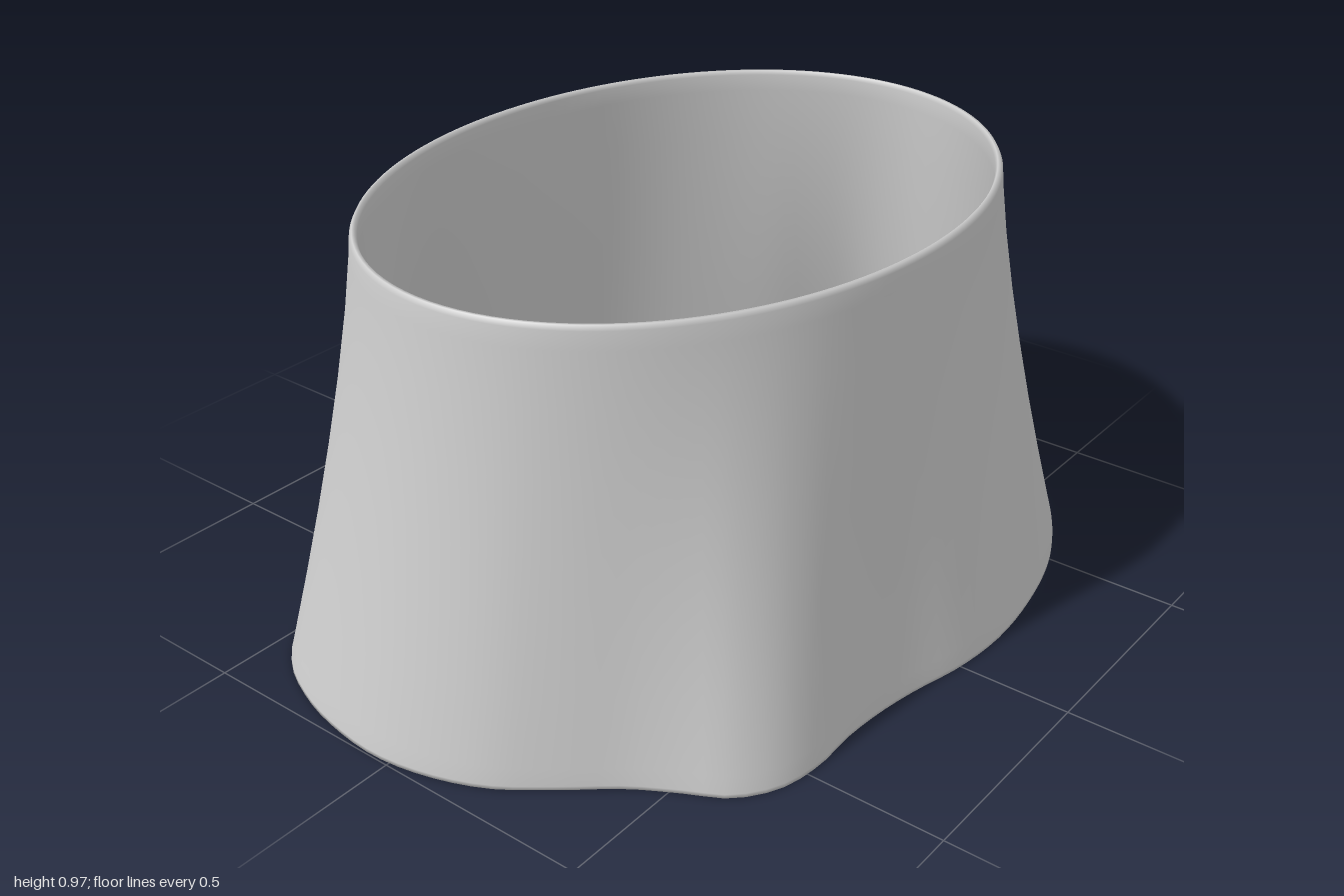
import * as THREE from 'three';

const HEIGHT = 0.97, STEPS = 132;
const WAIST = { x: -0.02, z: 0.01, rx: 0.803, rz: 0.612 };

// Wavy hem outline, as x, z pairs running from the left side round the front
const HEM = [
  [0.99, -0.08], [0.945, 0.03], [0.885, 0.13], [0.877, 0.22], [0.877, 0.32], [0.85, 0.42],
  [0.78, 0.52], [0.66, 0.61], [0.5, 0.69], [0.33, 0.735], [0.15, 0.755], [0, 0.743],
  [-0.14, 0.71], [-0.25, 0.692], [-0.36, 0.685], [-0.46, 0.69], [-0.57, 0.67], [-0.655, 0.61],
  [-0.7, 0.53], [-0.76, 0.43], [-0.85, 0.32], [-0.93, 0.21], [-0.98, 0.08], [-0.998, -0.05],
  [-0.98, -0.2], [-0.95, -0.3], [-0.9, -0.4], [-0.82, -0.48], [-0.71, -0.525], [-0.6, -0.55],
  [-0.5, -0.59], [-0.43, -0.65], [-0.36, -0.71], [-0.25, -0.755], [-0.14, -0.76], [0, -0.74],
  [0.2, -0.69], [0.36, -0.63], [0.5, -0.55], [0.63, -0.45], [0.78, -0.33], [0.91, -0.24], [0.98, -0.16],
];

// Closed wall section as [inset, height]: up the outside, over the rim, down the inside
const SECTION = [
  [0.002, 0.003], [0, 0.012], [0, 0.05], [0, 0.2], [0, 0.35], [0, 0.5], [0, 0.65], [0, 0.8], [0, 0.92],
  [0, 0.96], [0.005, 0.97], [0.012, 0.97], [0.017, 0.96],
  [0.018, 0.92], [0.018, 0.8], [0.018, 0.65], [0.018, 0.5], [0.018, 0.35], [0.018, 0.2], [0.018, 0.05],
  [0.018, 0.012], [0.014, 0.003],
];

// Loft from the hem outline to the oval waist, easing inward with height
function skirtGeometry() {
  const curve = new THREE.CatmullRomCurve3(HEM.map(([x, z]) => new THREE.Vector3(x, 0, z)), true);
  const hem = curve.getSpacedPoints(STEPS).slice(0, STEPS);
  const positions = [], indices = [];
  for (const [inset, y] of SECTION) {
    const flare = Math.pow(Math.max(0, 1 - y / HEIGHT), 1.3);
    for (const p of hem) {
      const angle = Math.atan2((p.z - WAIST.z) / WAIST.rz, (p.x - WAIST.x) / WAIST.rx);
      const x = THREE.MathUtils.lerp(WAIST.x + WAIST.rx * Math.cos(angle), p.x, flare);
      const z = THREE.MathUtils.lerp(WAIST.z + WAIST.rz * Math.sin(angle), p.z, flare);
      const shrink = 1 - inset / Math.hypot(x, z);
      positions.push(x * shrink, y, z * shrink);
    }
  }
  const rows = SECTION.length;
  for (let r = 0; r < rows; r++) {
    for (let i = 0; i < STEPS; i++) {
      const j = (i + 1) % STEPS, up = ((r + 1) % rows) * STEPS, low = r * STEPS;
      indices.push(low + i, up + i, low + j, low + j, up + i, up + j);
    }
  }
  const geometry = new THREE.BufferGeometry();
  geometry.setAttribute('position', new THREE.Float32BufferAttribute(positions, 3));
  geometry.setIndex(indices);
  geometry.computeVertexNormals();
  return geometry;
}

export function createModel() {
  const group = new THREE.Group();
  group.name = 'flaredSkirt';
  const fabric = new THREE.MeshStandardMaterial({ color: 0xcccccc });
  fabric.name = 'light grey fabric';
  const skirt = new THREE.Mesh(skirtGeometry(), fabric);
  skirt.name = 'skirt';
  group.add(skirt);
  return group;
}
